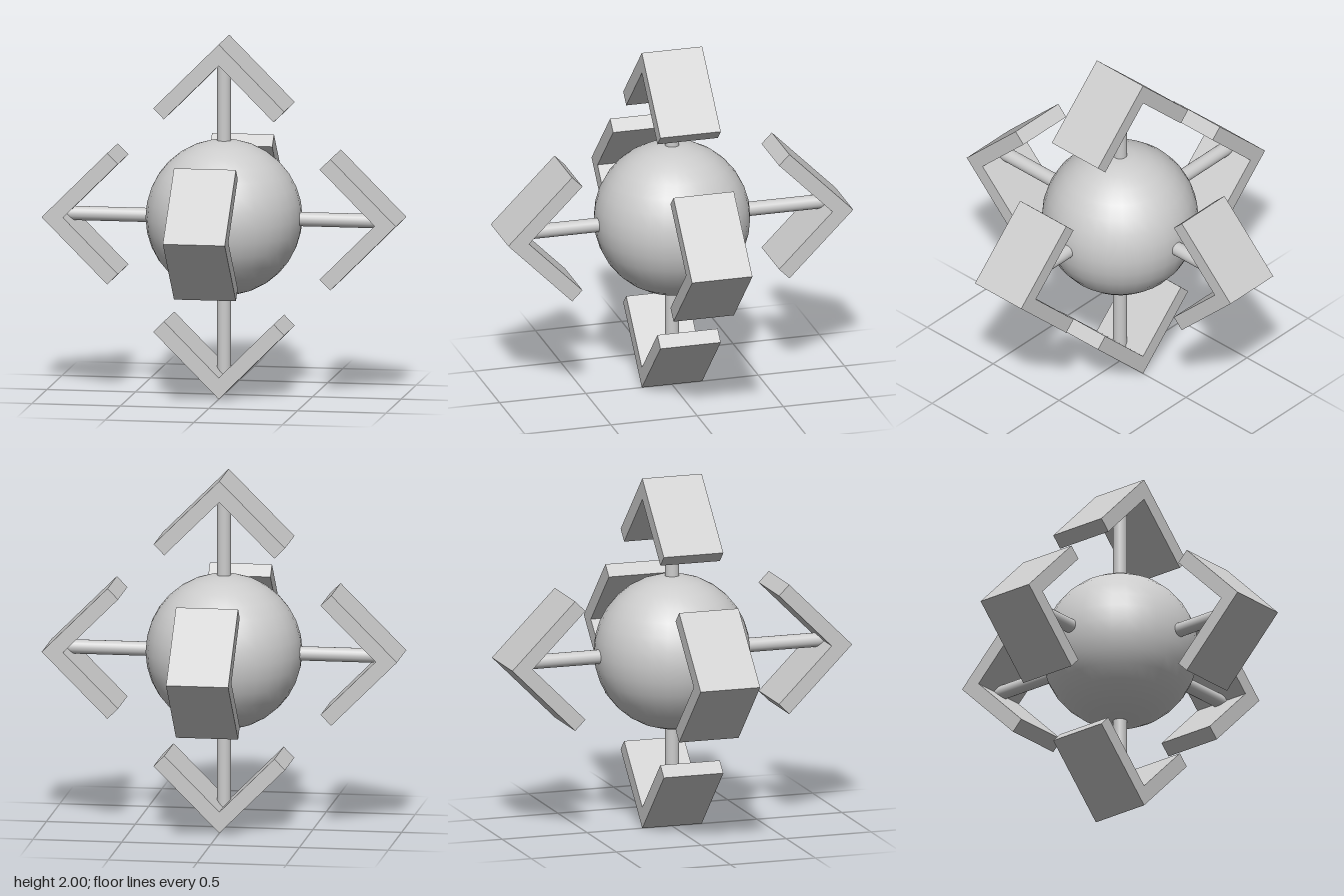
import * as THREE from 'three';

const CORE_RADIUS = 0.437;
const ARROW_WIDTH = 0.35;

export function createModel() {
  const model = new THREE.Group();
  model.name = 'sixWayArrowBall';
  const material = new THREE.MeshStandardMaterial({ color: 0xcccccc });

  const addMesh = (parent, geometry, name) => {
    const mesh = new THREE.Mesh(geometry, material);
    mesh.name = name;
    parent.add(mesh);
    return mesh;
  };

  // Central ball
  addMesh(model, new THREE.SphereGeometry(CORE_RADIUS, 32, 16), 'coreBall').position.y = 1;

  // Right-angled arrowhead pointing up, tip one unit from the ball's centre
  const outline = new THREE.Shape([
    [0, 1], [-0.37, 0.63], [-0.31, 0.57], [0, 0.88], [0.31, 0.57], [0.37, 0.63],
  ].map(([x, y]) => new THREE.Vector2(x, y)));
  const headGeometry = new THREE.ExtrudeGeometry(outline, { depth: ARROW_WIDTH, bevelEnabled: false });
  headGeometry.translate(0, 0, -ARROW_WIDTH / 2);

  // Rod from inside the ball into the arrowhead
  const rodGeometry = new THREE.CylinderGeometry(0.04, 0.04, 0.52, 20);
  rodGeometry.translate(0, 0.66, 0);

  // One arrow along each axis; front and back arrows are turned to open vertically
  const q = Math.PI / 2;
  const arrows = {
    topArrow: [0, 0, 0],
    bottomArrow: [0, 0, Math.PI],
    leftArrow: [0, 0, -q],
    rightArrow: [0, 0, q],
    frontArrow: [q, q, 0],
    backArrow: [-q, q, 0],
  };
  for (const [name, angles] of Object.entries(arrows)) {
    const arrow = new THREE.Group();
    arrow.name = name;
    addMesh(arrow, rodGeometry, 'rod');
    addMesh(arrow, headGeometry, 'arrowhead');
    arrow.rotation.set(...angles);
    arrow.position.y = 1;
    model.add(arrow);
  }

  return model;
}
